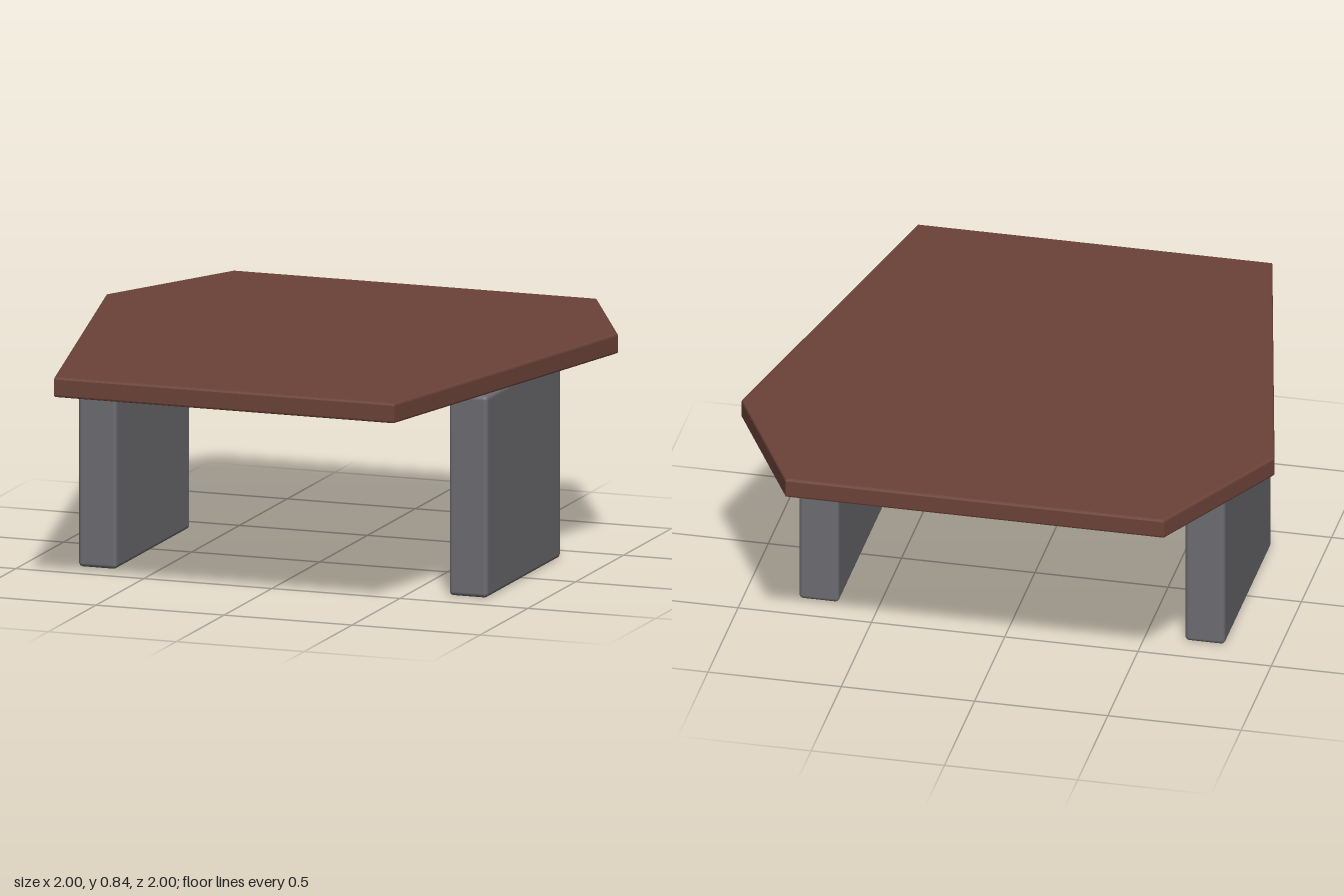
import * as THREE from 'three';
import { RoundedBoxGeometry } from 'three/addons/geometries/RoundedBoxGeometry.js';

export function createModel() {
  const group = new THREE.Group();
  const wood = new THREE.MeshStandardMaterial({ color: 0x6b4238 });
  const metal = new THREE.MeshStandardMaterial({ color: 0x6c6b70 });

  // Six-sided tabletop: half outline as [x, z], mirrored across x = 0
  const half = [[0.665, 1], [1, -0.445], [0.71, -1]];
  const mirrored = half.map(([x, z]) => [-x, z]).reverse();
  const outline = new THREE.Shape([...half, ...mirrored].map(([x, z]) => new THREE.Vector2(x, z)));
  const bevel = 0.008;
  const thickness = 0.075;
  const topGeometry = new THREE.ExtrudeGeometry(outline, {
    depth: thickness - 2 * bevel,
    bevelThickness: bevel,
    bevelSize: bevel,
    bevelOffset: -bevel,
    bevelSegments: 2,
  });
  topGeometry.rotateX(Math.PI / 2); // outline y becomes z, depth points down
  const top = new THREE.Mesh(topGeometry, wood);
  top.name = 'tabletop';
  top.position.y = 0.84 - bevel;
  group.add(top);

  // Two slab legs with softened edges, just below the top
  const legGeometry = new RoundedBoxGeometry(0.15, 0.755, 0.775, 3, 0.016);
  for (const [name, side] of [['leftLeg', 1], ['rightLeg', -1]]) {
    const leg = new THREE.Mesh(legGeometry, metal);
    leg.name = name;
    leg.position.set(side * 0.724, 0.3775, 0.002);
    group.add(leg);
  }

  return group;
}
